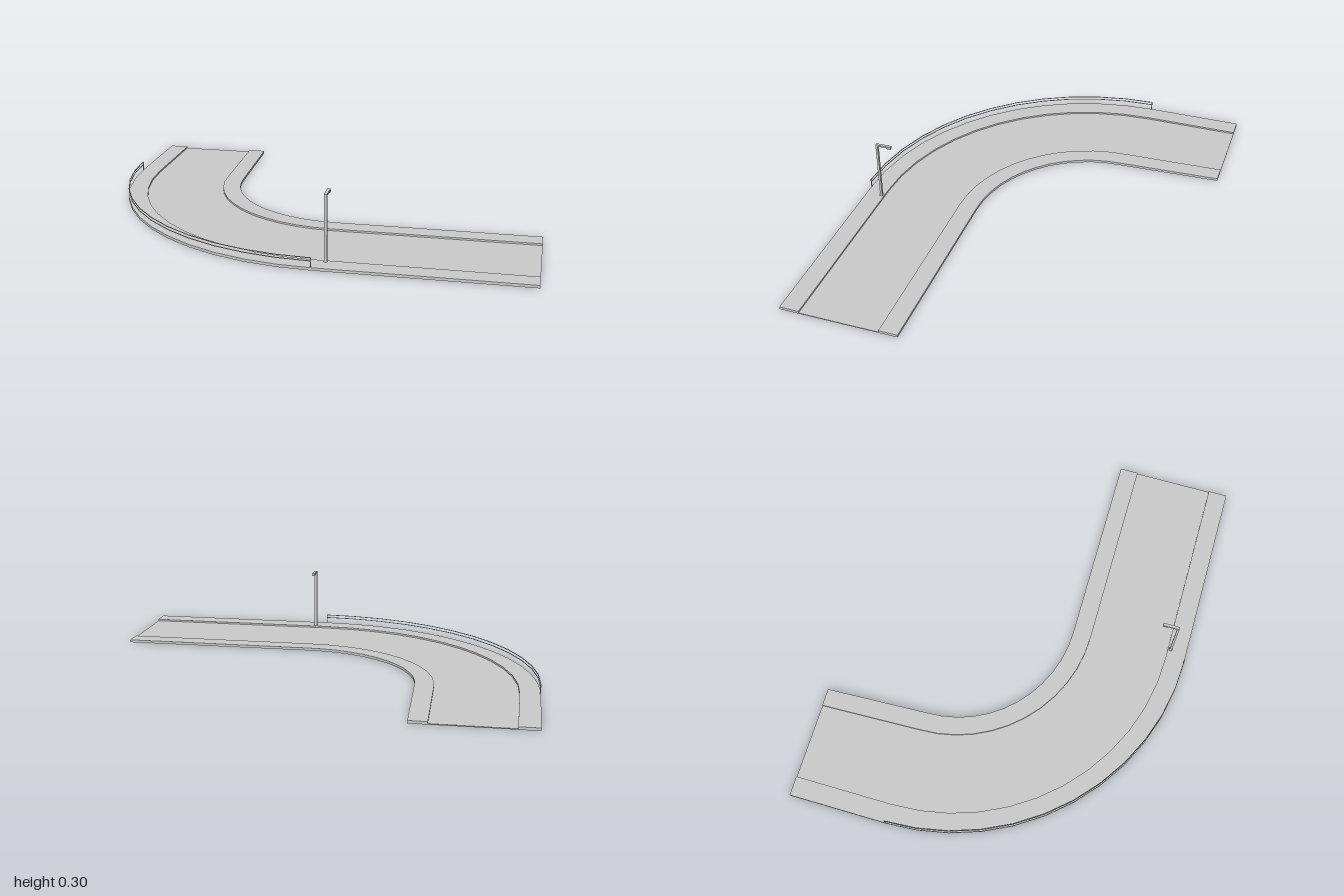
import * as THREE from 'three';

const SEGMENTS = 12;
const CURB_TOP = 0.012;
const ROAD_TOP = 0.004;

// Points (x, z) of a quarter bend from the front straight to the back straight
function bend(rx, rz, cz) {
  const points = [];
  for (let i = 0; i <= SEGMENTS; i++) {
    const a = (i / SEGMENTS) * Math.PI / 2;
    points.push(new THREE.Vector2(0.1 - rx * Math.sin(a), cz + rz * Math.cos(a)));
  }
  return points;
}

// A full edge line: straight, bend, straight
function edge(rx, rz, cz, endX) {
  return [
    new THREE.Vector2(1, cz + rz),
    ...bend(rx, rz, cz),
    new THREE.Vector2(endX, -0.775),
  ];
}

export function createModel() {
  const model = new THREE.Group();
  model.name = 'curvedRoad';
  const grey = new THREE.MeshStandardMaterial({ color: 0xcccccc, flatShading: true });

  function add(name, geometry, parent = model) {
    const mesh = new THREE.Mesh(geometry, grey);
    mesh.name = name;
    parent.add(mesh);
    return mesh;
  }

  function box(name, size, position, parent) {
    add(name, new THREE.BoxGeometry(...size), parent).position.set(...position);
  }

  // Slab between two edge lines, standing on the ground
  function strip(name, edgeA, edgeB, height) {
    const shape = new THREE.Shape([...edgeA, ...[...edgeB].reverse()]);
    const geometry = new THREE.ExtrudeGeometry(shape, { depth: height, bevelEnabled: false });
    geometry.rotateX(Math.PI / 2).translate(0, height, 0);
    add(name, geometry);
  }

  const outer = edge(1.1, 1.1, -0.325, -1);
  const outerCurb = edge(1.012, 1.012, -0.325, -0.912);
  const innerCurb = edge(0.65, 0.635, -0.31, -0.565);
  const inner = edge(0.565, 0.54, -0.3, -0.485);

  // Roadway with a raised pavement on each side
  strip('roadway', outerCurb, innerCurb, ROAD_TOP);
  strip('outerPavement', outer, outerCurb, CURB_TOP);
  strip('innerPavement', innerCurb, inner, CURB_TOP);

  // Guard rail: two thin rails round the bend, with a post at each end
  const guardRail = new THREE.Group();
  guardRail.name = 'guardRail';
  model.add(guardRail);
  const railLine = bend(1.098, 1.098, -0.325);
  for (const y of [0.04, 0.0535]) {
    for (let i = 0; i < SEGMENTS; i++) {
      const a = new THREE.Vector3(railLine[i].x, y, railLine[i].y);
      const b = new THREE.Vector3(railLine[i + 1].x, y, railLine[i + 1].y);
      const bar = add('rail', new THREE.BoxGeometry(0.003, 0.003, a.distanceTo(b)), guardRail);
      bar.position.copy(a).add(b).multiplyScalar(0.5);
      bar.lookAt(b);
    }
  }
  for (const p of [railLine[0], railLine[SEGMENTS]]) {
    box('railPost', [0.004, 0.045, 0.004], [p.x, 0.0325, p.y], guardRail);
  }

  // Street lamp on the outer pavement, reaching over the road
  const lamp = new THREE.Group();
  lamp.name = 'streetLamp';
  lamp.position.set(0.147, 0, 0.7);
  model.add(lamp);
  const base = new THREE.CylinderGeometry(0.007, 0.011, 0.018, 4);
  base.rotateY(Math.PI / 4).translate(0, 0.018, 0);
  add('lampBase', base, lamp);
  box('lampPole', [0.013, 0.288, 0.01], [0, 0.156, 0], lamp);
  box('lampArm', [0.013, 0.008, 0.075], [0, 0.296, -0.0325], lamp);
  box('lampHead', [0.015, 0.006, 0.022], [0, 0.291, -0.058], lamp);

  return model;
}
